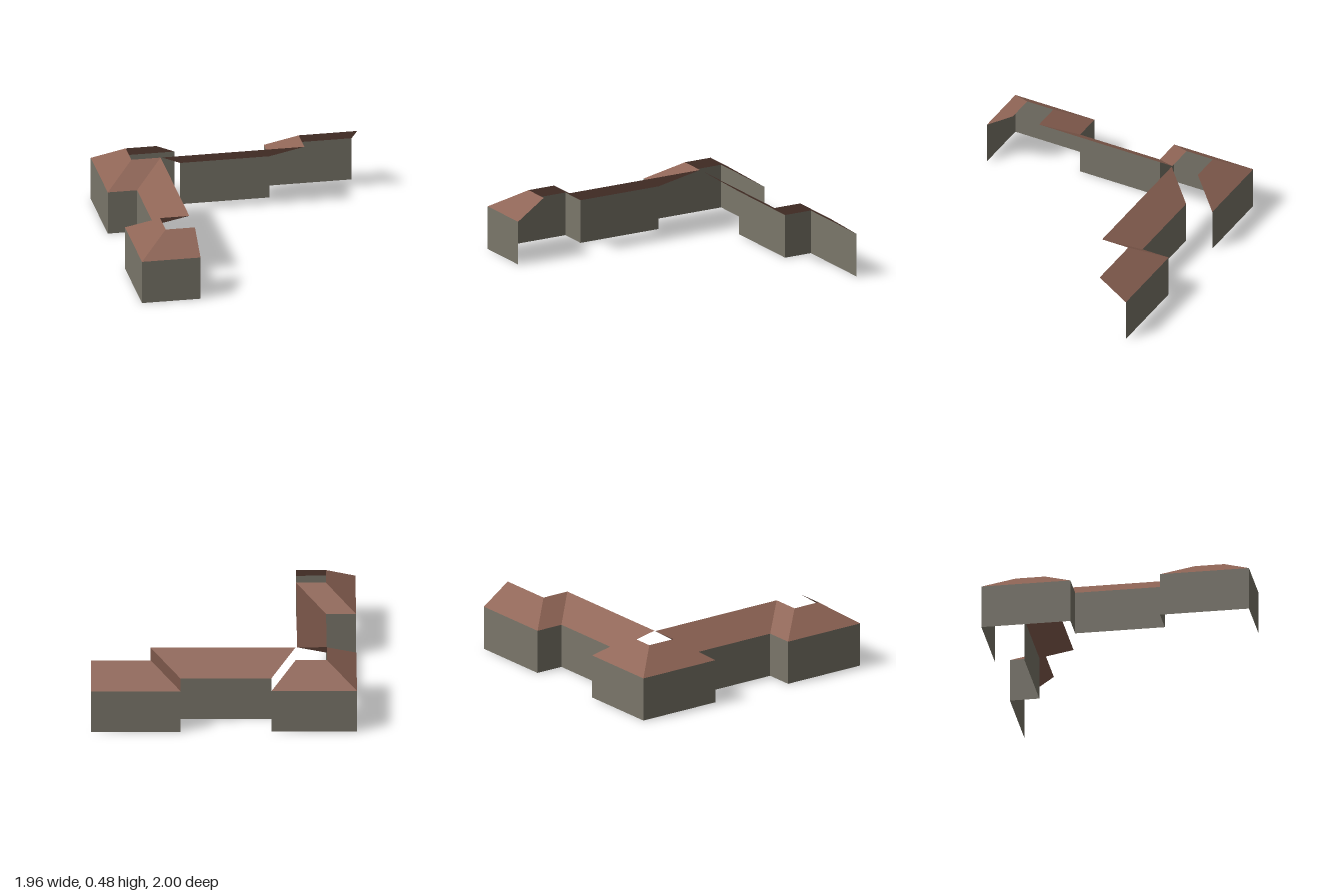
import * as THREE from 'three';

const EAVE = 0.33, RIDGE = 0.48;

// Plan outlines [x, z]: each eave corner pairs with the ridge corner above it
const wings = [
  { name: 'sideWing',
    eave: [[-0.54, 1], [-0.98, 1], [-0.98, 0.335], [-0.76, 0.335], [-0.76, -0.335], [-0.98, -0.335], [-0.98, -1], [-0.35, -1]],
    ridge: [[-0.54, 0.78], [-0.76, 0.78], [-0.76, 0.56], [-0.54, 0.56], [-0.54, -0.56], [-0.76, -0.56], [-0.76, -0.78], [-0.53, -0.78]] },
  { name: 'backWing',
    eave: [[-0.35, -0.78], [0.32, -0.78], [0.32, -1], [0.98, -1]],
    ridge: [[-0.53, -0.56], [0.54, -0.56], [0.54, -0.78], [0.98, -0.78]] },
];

// Strip of flat quads between a lower and an upper path
function strip(lower, y0, upper, y1) {
  const pos = [];
  const at = ([x, z], y) => [x, y, z];
  for (let i = 0; i < lower.length - 1; i++) {
    const a = at(lower[i + 1], y0), b = at(lower[i], y0);
    const c = at(upper[i], y1), d = at(upper[i + 1], y1);
    pos.push(...a, ...b, ...c, ...a, ...c, ...d);
  }
  const geo = new THREE.BufferGeometry();
  geo.setAttribute('position', new THREE.Float32BufferAttribute(pos, 3));
  geo.computeVertexNormals();
  return geo;
}

export function createModel() {
  const wallMat = new THREE.MeshStandardMaterial({ name: 'wall olive grey', color: 0x7a766a, side: THREE.DoubleSide });
  const roofMat = new THREE.MeshStandardMaterial({ name: 'roof brown', color: 0x8e6455, side: THREE.DoubleSide });
  const model = new THREE.Group();
  model.name = 'building';

  for (const { name, eave, ridge } of wings) {
    const wing = new THREE.Group();
    wing.name = name;
    // Outer walls, open behind
    const walls = new THREE.Mesh(strip(eave, 0, eave, EAVE), wallMat);
    walls.name = 'walls';
    // Single roof slope rising inward to the ridge, mitred at corners
    const roof = new THREE.Mesh(strip(eave, EAVE, ridge, RIDGE), roofMat);
    roof.name = 'roof';
    wing.add(walls, roof);
    model.add(wing);
  }
  return model;
}
